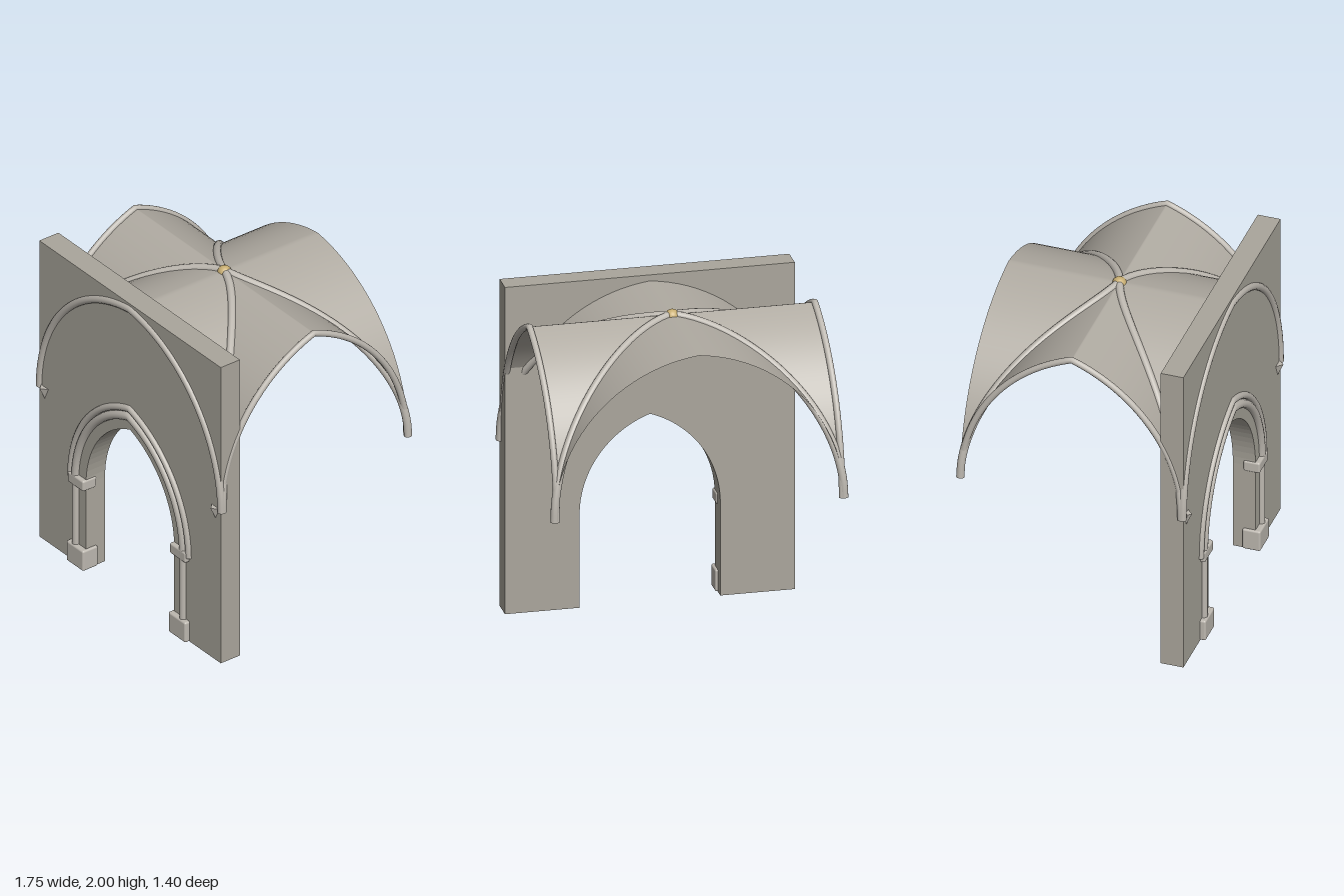
import * as THREE from 'three';
import { mergeGeometries } from 'three/addons/utils/BufferGeometryUtils.js';
import { RoundedBoxGeometry } from 'three/addons/geometries/RoundedBoxGeometry.js';

const wallStone = new THREE.MeshStandardMaterial({ color: 0xaaa69c });
const ribStone = new THREE.MeshStandardMaterial({ color: 0xbdb8b0 });
const webStone = new THREE.MeshStandardMaterial({ color: 0xb0aba2, side: THREE.DoubleSide });
const gilt = new THREE.MeshStandardMaterial({ color: 0xc8ae72 });

// Vault: half width, half depth, rise, springing height and centre in z
const HALF_X = 0.85, HALF_Z = 0.667, RISE = 0.943, SPRING = 1.02, MID_Z = -0.012;
const WALL_BACK = 0.53, WALL_FRONT = 0.667;

// Point on a two-centred pointed arch, t from -1 (one foot) through 0 (apex) to 1
function arch(half, rise, t) {
  const radius = (half * half + rise * rise) / (2 * half);
  const h = rise * Math.cos(t * Math.PI / 2);
  const across = Math.sqrt(Math.max(0, radius * radius - h * h)) - (radius - half);
  return { a: Math.sign(t) * across, h };
}

// Curve points sampled foot to foot
function sample(n, fn) {
  return Array.from({ length: n + 1 }, (_, i) => fn(-1 + 2 * i / n));
}

// Round moulding along a path, closed with flat ends
function rib(points, radius) {
  const curve = new THREE.CatmullRomCurve3(points);
  const parts = [new THREE.TubeGeometry(curve, 72, radius, 12)];
  for (const [t, dir] of [[0, -1], [1, 1]]) {
    const cap = new THREE.CircleGeometry(radius, 12);
    const q = new THREE.Quaternion().setFromUnitVectors(
      new THREE.Vector3(0, 0, 1), curve.getTangentAt(t).multiplyScalar(dir));
    const p = curve.getPointAt(t);
    parts.push(cap.applyQuaternion(q).translate(p.x, p.y, p.z));
  }
  return mergeGeometries(parts);
}

// One cell of the vault, from the groin out to its open edge
function vaultCell(along, side) {
  const geo = new THREE.PlaneGeometry(2, 1, 48, 6);
  const pos = geo.attributes.position;
  for (let i = 0; i < pos.count; i++) {
    const t = pos.getX(i), k = pos.getY(i) + 0.5;
    const px = arch(HALF_X, RISE, t), pz = arch(HALF_Z, RISE, t);
    const y = SPRING + px.h;
    if (along === 'z') {
      const z = THREE.MathUtils.lerp(Math.abs(pz.a), HALF_Z, k);
      pos.setXYZ(i, px.a, y, MID_Z + side * z);
    } else {
      const x = THREE.MathUtils.lerp(Math.abs(px.a), HALF_X, k);
      pos.setXYZ(i, side * x, y, MID_Z + pz.a);
    }
  }
  geo.computeVertexNormals();
  return geo;
}

export function createModel() {
  const model = new THREE.Group();
  const add = (name, geo, mat, x = 0, y = 0, z = 0) => {
    const mesh = new THREE.Mesh(geo, mat);
    mesh.name = name;
    mesh.position.set(x, y, z);
    model.add(mesh);
    return mesh;
  };

  // Wall with a pointed doorway cut up from the floor
  const doorHalf = 0.413, doorSpring = 0.57;
  const outline = new THREE.Shape();
  outline.moveTo(-0.85, 0);
  outline.lineTo(-doorHalf, 0);
  for (const p of sample(40, t => arch(doorHalf, 0.58, t))) outline.lineTo(p.a, doorSpring + p.h);
  outline.lineTo(doorHalf, 0);
  outline.lineTo(0.85, 0);
  outline.lineTo(0.85, 2);
  outline.lineTo(-0.85, 2);
  add('wall', new THREE.ExtrudeGeometry(outline, { depth: WALL_FRONT - WALL_BACK, bevelEnabled: false }),
    wallStone, 0, 0, WALL_BACK);

  // Door mouldings
  const doorArch = (half, rise, y, z) => sample(32, t => {
    const p = arch(half, rise, t);
    return new THREE.Vector3(p.a, y + p.h, z);
  });
  add('innerDoorMoulding', rib(doorArch(0.505, 0.67, doorSpring, 0.67), 0.026), ribStone);
  add('outerDoorMoulding', rib(doorArch(0.553, 0.725, 0.567, 0.668), 0.021), ribStone);

  // Door columns and wall corbels, mirrored
  for (const s of [1, -1]) {
    const side = s > 0 ? 'left' : 'right';
    add(side + 'ColumnBase', new RoundedBoxGeometry(0.16, 0.135, 0.11, 3, 0.012), ribStone, s * 0.478, 0.0675, 0.645);
    add(side + 'ColumnShaft', new THREE.CylinderGeometry(0.023, 0.023, 0.41, 16), ribStone, s * 0.503, 0.335, 0.67);
    add(side + 'ColumnCapital', new RoundedBoxGeometry(0.148, 0.07, 0.1, 3, 0.012), ribStone, s * 0.478, 0.568, 0.645);
    const cone = new THREE.ConeGeometry(0.056, 0.125, 4).rotateX(Math.PI).toNonIndexed();
    cone.computeVertexNormals();
    add(side + 'Corbel', cone, ribStone, s * 0.8, 0.973, 0.646);
  }

  // Vault webs
  for (const s of [1, -1]) {
    add(s > 0 ? 'frontVaultCell' : 'backVaultCell', vaultCell('z', s), webStone);
    add(s > 0 ? 'leftVaultCell' : 'rightVaultCell', vaultCell('x', s), webStone);
  }

  // Diagonal ribs along the groins, and side ribs
  for (const s of [1, -1]) {
    const diagonal = sample(32, t => {
      const px = arch(HALF_X, RISE, t), pz = arch(HALF_Z, RISE, t);
      return new THREE.Vector3(px.a, SPRING + px.h, MID_Z + s * pz.a);
    });
    add('diagonalRib', rib(diagonal, 0.024), ribStone);
    const edge = sample(32, t => {
      const p = arch(HALF_Z, RISE, t);
      return new THREE.Vector3(s * 0.837, SPRING + p.h, MID_Z + p.a);
    });
    add(s > 0 ? 'leftSideRib' : 'rightSideRib', rib(edge, 0.019), ribStone);
  }

  // Rib standing out from the wall face
  const wallRib = sample(32, t => {
    const p = arch(HALF_X, RISE, t);
    return new THREE.Vector3(p.a, SPRING + p.h, 0.662);
  });
  add('wallRib', rib(wallRib, 0.024), ribStone);

  // Boss at the crossing
  add('boss', new THREE.SphereGeometry(0.042, 24, 16), gilt, 0, 1.953, MID_Z);
  return model;
}
